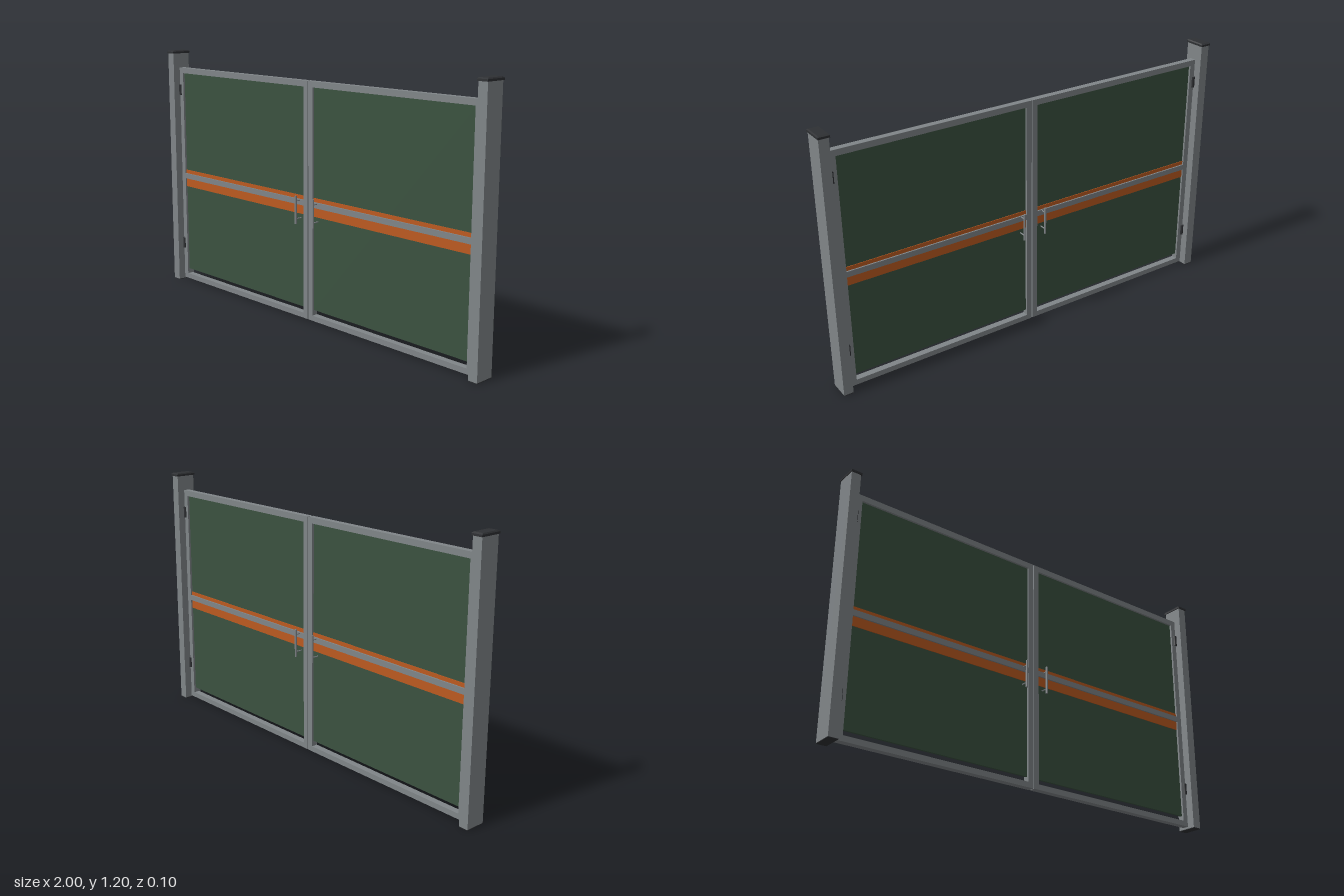
import * as THREE from 'three';

const mat = (color) => new THREE.MeshStandardMaterial({ color });

export function createModel() {
  const steel = mat(0x808588), green = mat(0x3b5240), orange = mat(0xbc5a20), dark = mat(0x2e3033);
  const gate = new THREE.Group();
  gate.name = 'doubleGate';

  const add = (parent, name, geometry, material, x, y, z = 0) => {
    const mesh = new THREE.Mesh(geometry, material);
    mesh.name = name;
    mesh.position.set(x, y, z);
    parent.add(mesh);
    return mesh;
  };
  // Box given by its x and y limits, centred on z
  const slab = (parent, name, material, x0, x1, y0, y1, depth, z = 0) =>
    add(parent, name, new THREE.BoxGeometry(Math.abs(x1 - x0), y1 - y0, depth), material, (x0 + x1) / 2, (y0 + y1) / 2, z);

  for (const s of [-1, 1]) {
    const side = s > 0 ? 'left' : 'right';

    // Post with a chamfered cap
    const post = new THREE.Group();
    post.name = side + 'Post';
    gate.add(post);
    slab(post, 'postTube', steel, s * 0.953, s * 0.997, 0.003, 1.188, 0.094);
    slab(post, 'postFoot', dark, s * 0.953, s * 0.997, 0, 0.003, 0.094);
    slab(post, 'postCap', dark, s * 0.949, s, 1.186, 1.195, 0.104);
    const top = new THREE.CylinderGeometry(Math.SQRT1_2 * 0.84, Math.SQRT1_2, 0.005, 4, 1)
      .rotateY(Math.PI / 4).scale(0.051, 1, 0.104).toNonIndexed();
    top.computeVertexNormals();
    add(post, 'capChamfer', top, dark, s * 0.9745, 1.1975);

    // Leaf frame, infill and middle rail
    const leaf = new THREE.Group();
    leaf.name = side + 'Leaf';
    gate.add(leaf);
    slab(leaf, 'outerStile', steel, s * 0.92, s * 0.947, 0.01, 1.115, 0.03);
    slab(leaf, 'innerStile', steel, s * 0.002, s * 0.029, 0.01, 1.115, 0.03);
    slab(leaf, 'topRail', steel, s * 0.029, s * 0.92, 1.088, 1.115, 0.03);
    slab(leaf, 'bottomRail', steel, s * 0.029, s * 0.92, 0.01, 0.035, 0.03);
    slab(leaf, 'middleRail', steel, s * 0.029, s * 0.92, 0.546, 0.572, 0.03);
    slab(leaf, 'panel', green, s * 0.029, s * 0.92, 0.06, 1.088, 0.01);
    slab(leaf, 'accentBand', orange, s * 0.029, s * 0.92, 0.503, 0.59, 0.016);

    // Hinge barrels on both faces
    for (const y of [0.198, 1.003])
      for (const z of [-0.013, 0.013])
        add(leaf, 'hinge', new THREE.CylinderGeometry(0.009, 0.009, 0.052, 16), dark, s * 0.944, y, z);

    // Pull handles on both faces, joined by through bolts
    for (const z of [-0.038, 0.038])
      add(leaf, 'handleGrip', new THREE.CylinderGeometry(0.005, 0.005, 0.13, 16), steel, s * 0.057, 0.525, z);
    for (const y of [0.483, 0.567])
      add(leaf, 'handleBolt', new THREE.CylinderGeometry(0.003, 0.003, 0.076, 12).rotateX(Math.PI / 2), steel, s * 0.057, y);
  }
  return gate;
}
